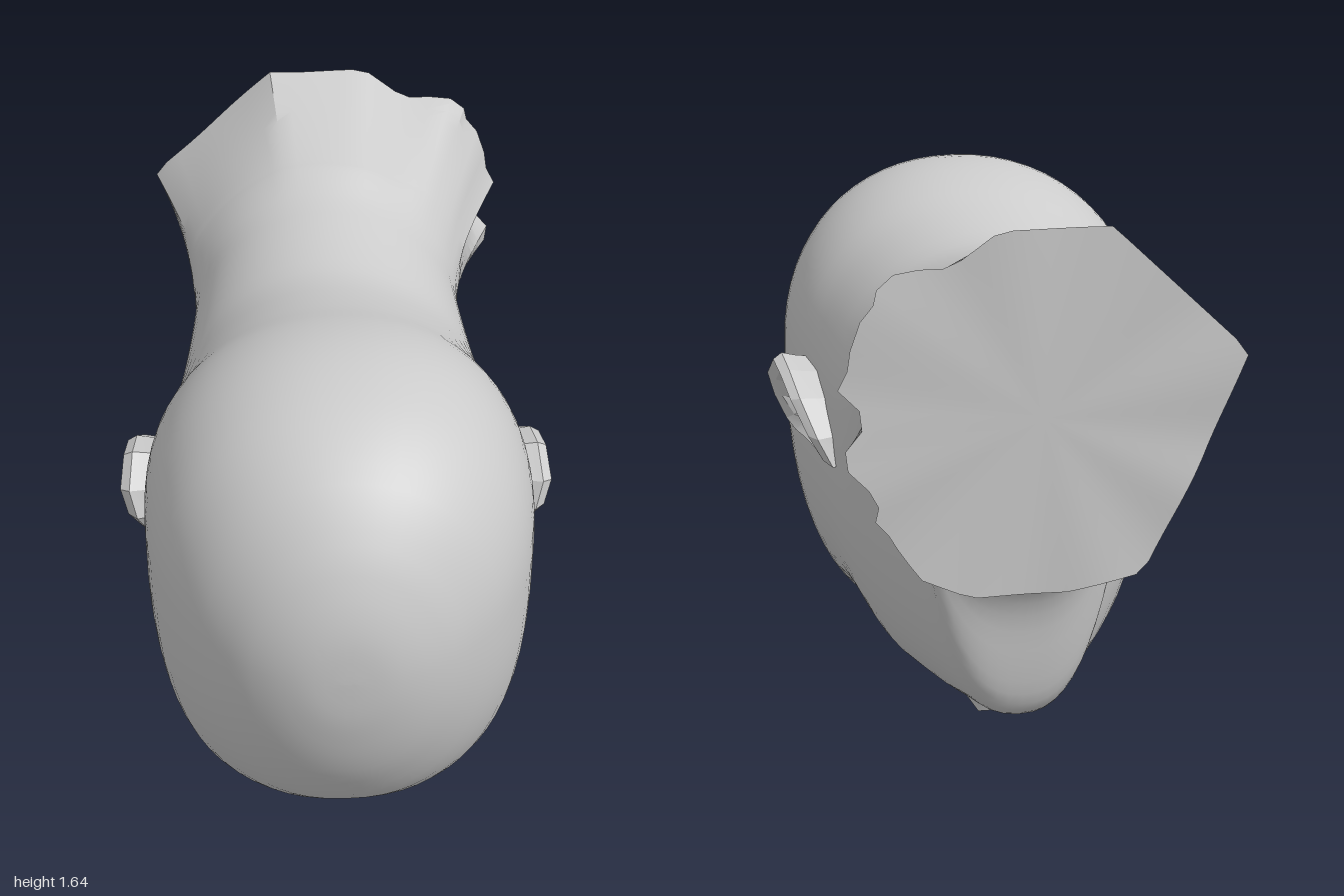
import * as THREE from 'three';
import { toCreasedNormals } from 'three/addons/utils/BufferGeometryUtils.js';

const V = (x, y, z) => new THREE.Vector3(x, y, z);
const gauss = (d, w) => Math.exp(-(d * d) / (w * w));
const spow = (v, e) => Math.sign(v) * Math.pow(Math.abs(v), e);
const { clamp, lerp, smoothstep } = THREE.MathUtils;

// Skin closed rings of equal length and close both ends with a fan
function loft(rings, crease) {
  const n = rings[0].length, pos = [], idx = [];
  rings.forEach(r => r.forEach(p => pos.push(p.x, p.y, p.z)));
  for (let i = 0; i < rings.length - 1; i++)
    for (let j = 0; j < n; j++) {
      const a = i * n + j, b = i * n + (j + 1) % n;
      idx.push(a, a + n, b, b, a + n, b + n);
    }
  [0, rings.length - 1].forEach((i, end) => {
    const c = V(0, 0, 0);
    rings[i].forEach(p => c.addScaledVector(p, 1 / n));
    const ci = pos.length / 3;
    pos.push(c.x, c.y, c.z);
    for (let j = 0; j < n; j++) {
      const a = i * n + j, b = i * n + (j + 1) % n;
      if (end) idx.push(ci, b, a); else idx.push(ci, a, b);
    }
  });
  const g = new THREE.BufferGeometry();
  g.setAttribute('position', new THREE.Float32BufferAttribute(pos, 3));
  g.setIndex(idx);
  return toCreasedNormals(g, crease);
}

// Head sections from crown to neck: z, top, bottom, half width, widest height, roundness
const SECTIONS = [
  [1.0, 0.925, 0.915, 0.01, 0.92, 2],
  [0.995, 1.02, 0.81, 0.09, 0.92, 2],
  [0.98, 1.1, 0.72, 0.155, 0.92, 2],
  [0.95, 1.185, 0.61, 0.225, 0.92, 2],
  [0.9, 1.28, 0.5, 0.3, 0.93, 2.05],
  [0.8, 1.4, 0.355, 0.4, 0.95, 2.1],
  [0.65, 1.487, 0.245, 0.48, 0.97, 2.15],
  [0.5, 1.525, 0.185, 0.515, 0.99, 2.15],
  [0.35, 1.53, 0.148, 0.525, 1.0, 2.15],
  [0.2, 1.505, 0.18, 0.515, 0.98, 2.15],
  [0.05, 1.46, 0.18, 0.48, 0.95, 2.1],
  [-0.15, 1.42, 0.14, 0.445, 0.95, 2],
  [-0.3, 1.43, 0.15, 0.415, 1.0, 2],
  [-0.45, 1.46, 0.17, 0.39, 1.06, 2],
  [-0.56, 1.485, 0.19, 0.38, 1.1, 2],
  [-0.61, 1.495, 0.23, 0.38, 1.11, 2],
  [-0.632, 1.495, 0.34, 0.38, 1.12, 2],
  [-0.65, 1.495, 0.5, 0.38, 1.13, 2],
  [-0.7, 1.495, 0.6, 0.38, 1.14, 2],
  [-0.8, 1.495, 0.63, 0.38, 1.15, 2],
  [-0.9, 1.495, 0.65, 0.38, 1.15, 2],
  [-0.98, 1.495, 0.67, 0.38, 1.15, 2],
];

// Uneven outline of the cut end of the neck, counterclockwise
const CUT = [[0.53, 1.26], [0.49, 1.33], [0.52, 1.43], [0.38, 1.55], [0.25, 1.55], [0.13, 1.64],
  [-0.15, 1.64], [-0.5, 1.31], [-0.38, 1.02], [-0.24, 0.74], [-0.04, 0.7], [0.2, 0.7],
  [0.34, 0.76], [0.41, 0.88], [0.5, 0.98]];

// Point on the cut outline in direction a from its middle
function cutPoint(a) {
  const dx = Math.cos(a), dy = Math.sin(a), cy = 1.15;
  for (let i = 0; i < CUT.length; i++) {
    const [px, py] = CUT[i], [qx, qy] = CUT[(i + 1) % CUT.length];
    const ex = qx - px, ey = qy - py, det = dx * ey - dy * ex;
    const t = (px * ey - (py - cy) * ex) / det;
    const u = (px * dy - (py - cy) * dx) / det;
    if (t > 0 && u >= -1e-6 && u <= 1 + 1e-6) return [dx * t, cy + dy * t];
  }
  return [0, cy];
}

// Smooth blend of the section table at row position t
function section(t) {
  const i = Math.min(Math.floor(t), SECTIONS.length - 2), f = t - i;
  const at = k => SECTIONS[clamp(k, 0, SECTIONS.length - 1)];
  return at(i).map((p1, k) => {
    const p0 = at(i - 1)[k], p2 = at(i + 1)[k], p3 = at(i + 2)[k];
    return p1 + 0.5 * f * (p2 - p0 + f * (2 * p0 - 5 * p1 + 4 * p2 - p3 + f * (3 * (p1 - p2) + p3 - p0)));
  });
}

function headRing(t) {
  const [z, top, bottom, hw, mid, round] = section(t), ring = [], SEG = 64;
  const w = Math.pow(clamp((-0.5 - z) / 0.48, 0, 1), 1.2);
  for (let j = 0; j < SEG; j++) {
    const a = (j / SEG) * Math.PI * 2, c = Math.cos(a), s = Math.sin(a);
    const n = s < 0 ? round + 0.45 * smoothstep(1 - z, 0, 0.4) : round;
    let x = hw * spow(c, 2 / n);
    let y = mid + (s > 0 ? top - mid : mid - bottom) * spow(s, 2 / n);
    if (s < 0) {
      // jaw and throat are narrower than the nape
      x *= 1 - 0.32 * smoothstep(mid - y, 0, 0.3) * smoothstep(-z, 0.2, 0.62);
      // eye sockets, cheeks beside the nose, lips
      const under = Math.min(1, -s * 1.5);
      y += under * 0.11 * gauss(Math.abs(x) - 0.18, 0.11) * gauss(z - 0.15, 0.1);
      y += under * 0.03 * gauss(Math.abs(x) - 0.16, 0.08) * gauss(z + 0.16, 0.12);
      y -= under * 0.03 * gauss(x, 0.12) * (gauss(z + 0.21, 0.04) + gauss(z + 0.31, 0.04));
    }
    // neck flares out to the cut end
    const [cx, cy] = cutPoint(a);
    const flare = s < 0 ? w * lerp(1, w, -s) : w;
    x += (cx - x) * flare;
    y += (cy - y) * flare;
    // torn folds down the left side of the neck
    x *= 1 - w * 0.09 * (j % 5 < 2 ? 1 : 0) * smoothstep(c, 0.65, 0.9);
    ring.push(V(x, y, z + w * 0.005 * Math.sin(j * 0.8)));
  }
  return ring;
}

// Nose sections: z, ridge height, half width
function noseGeometry() {
  const rows = [[0.24, 0.18, 0.03], [0.14, 0.125, 0.05], [0.04, 0.06, 0.08], [-0.04, 0.005, 0.11],
    [-0.075, 0.0, 0.12], [-0.1, 0.06, 0.11], [-0.14, 0.13, 0.06]];
  return loft(rows.map(([z, y, w]) => {
    const side = Math.max(0.16, y + 0.02), r = w * 0.25;
    return [V(w * 0.8, 0.28, z), V(-w * 0.8, 0.28, z), V(-w, side, z), V(-w * 0.7, (side + y) / 2, z),
      V(-r, y, z), V(r, y, z), V(w * 0.7, (side + y) / 2, z), V(w, side, z)];
  }), 0.6);
}

// Ear outline: z, y, rim distance from the middle
const EAR = [[0.24, 0.9, 0.56], [0.22, 0.98, 0.58], [0.13, 1.05, 0.57], [0.02, 1.03, 0.56],
  [-0.07, 0.97, 0.54], [-0.14, 0.87, 0.5], [-0.15, 0.79, 0.46], [-0.08, 0.81, 0.475],
  [0.03, 0.81, 0.49], [0.13, 0.81, 0.51], [0.2, 0.83, 0.53]];

function earGeometry(side) {
  const layer = (scale, out) => {
    const ring = EAR.map(([z, y, x]) =>
      V(side * out(x), 0.92 + (y - 0.92) * scale, 0.05 + (z - 0.05) * scale));
    return side > 0 ? ring : ring.reverse();
  };
  return loft([
    layer(0.85, () => 0.4),
    layer(0.94, x => x - 0.05),
    layer(1, x => x - 0.01),
    layer(0.88, x => x + 0.015),
    layer(0.68, x => x - 0.005),
    layer(0.55, x => Math.max(x - 0.05, 0.495)),
    layer(0.25, () => 0.495),
  ], 0.3);
}

export function createModel() {
  const group = new THREE.Group();
  const add = (name, geometry) => {
    const mesh = new THREE.Mesh(geometry, new THREE.MeshStandardMaterial({ color: 0xcccccc }));
    mesh.name = name;
    group.add(mesh);
  };
  const rings = [], STEPS = 3;
  for (let i = 0; i <= (SECTIONS.length - 1) * STEPS; i++) rings.push(headRing(i / STEPS));
  add('headAndNeck', loft(rings, 0.5));
  add('nose', noseGeometry());
  add('leftEar', earGeometry(1));
  add('rightEar', earGeometry(-1));
  return group;
}
